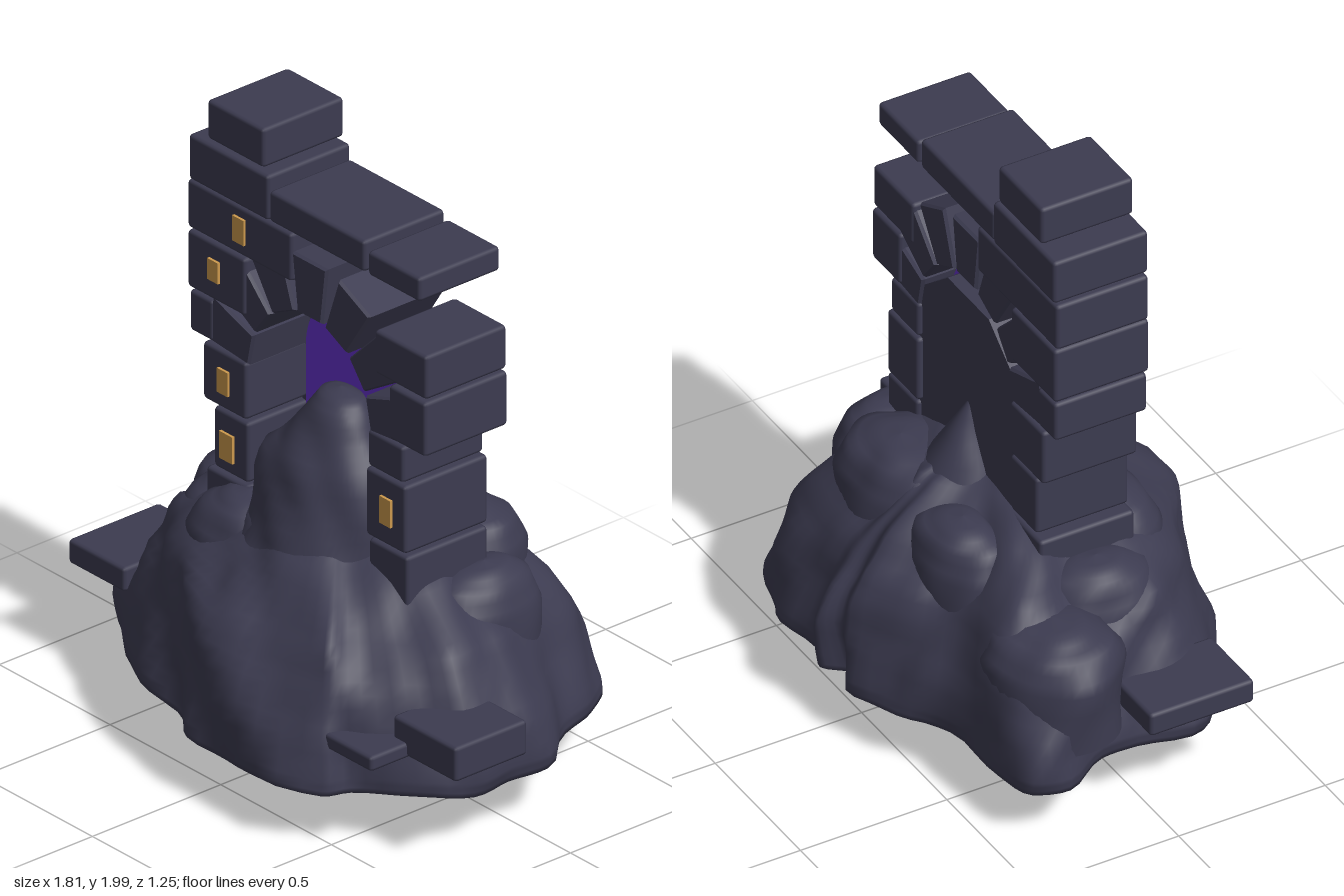
import * as THREE from 'three';
import { RoundedBoxGeometry } from 'three/addons/geometries/RoundedBoxGeometry.js';

const mat = (name, color, side = THREE.FrontSide) => {
  const m = new THREE.MeshStandardMaterial({ color, side });
  m.name = name;
  return m;
};

// Smooth repeatable bumps, roughly -1..1, with a few sharp ridges
const bumps = (x, y, z) =>
  0.45 * Math.sin(7 * x + 3 * y + 1.3) * Math.cos(6 * z - 4 * y) +
  0.4 * (1 - 2 * Math.abs(Math.sin(5 * x - 6 * z + 5 * y + 0.7))) +
  0.3 * Math.sin(17 * x + 9 * z) * Math.sin(15 * y + 11 * z + 2) +
  0.15 * Math.sin(31 * x - 23 * z + 19 * y);

const circle = (u) => [Math.cos(u * Math.PI * 2), Math.sin(u * Math.PI * 2)];

// Closed skin through rings [y, xScale, zScale, xCentre, zCentre], bottom to top
function loft(rings, outline, amp, segs = 72, steps = 3) {
  const pos = [], idx = [], rows = (rings.length - 1) * steps;
  for (let i = 0; i <= rows; i++) {
    const k = Math.min(Math.floor(i / steps), rings.length - 2), t = i / steps - k;
    const [y, sx, sz, cx = 0, cz = 0] = rings[k].map((v, n) => THREE.MathUtils.lerp(v, rings[k + 1][n], t));
    for (let j = 0; j < segs; j++) {
      const [ox, oz] = outline(j / segs);
      const x = cx + ox * sx, z = cz + oz * sz;
      const d = amp * bumps(x, y, z) * Math.min(1, sx * 6);
      const l = Math.hypot(ox, oz);
      pos.push(x + d * ox / l, y + d * 0.45, z + d * oz / l);
      if (i < rows) {
        const a = i * segs + j, b = i * segs + (j + 1) % segs;
        idx.push(a, a + segs, b, b, a + segs, b + segs);
      }
    }
  }
  const g = new THREE.BufferGeometry();
  g.setAttribute('position', new THREE.Float32BufferAttribute(pos, 3));
  g.setIndex(idx);
  g.computeVertexNormals();
  return g;
}

export function createModel() {
  const model = new THREE.Group();
  model.name = 'ruinedGateway';
  const stone = mat('darkStone', 0x3c3b50);
  const glow = mat('purpleGlow', 0x6633cc, THREE.DoubleSide);
  const amber = mat('amberRune', 0xcc994d);

  const add = (name, geometry, material = stone, parent = model) => {
    const m = new THREE.Mesh(geometry, material);
    m.name = name;
    parent.add(m);
    return m;
  };
  const block = (name, x0, x1, y0, y1, z0 = -0.145, z1 = 0.17, parent = model) => {
    const m = add(name, new RoundedBoxGeometry(x1 - x0, y1 - y0, z1 - z0, 1, 0.012), stone, parent);
    m.position.set((x0 + x1) / 2, (y0 + y1) / 2, (z0 + z1) / 2);
    return m;
  };

  // Main rock mound, following an irregular plan
  const plan = new THREE.CatmullRomCurve3([
    [-0.85, -0.28], [-0.81, -0.39], [-0.68, -0.43], [-0.42, -0.44], [-0.27, -0.53], [-0.08, -0.61],
    [0, -0.57], [0.06, -0.62], [0.14, -0.57], [0.34, -0.59], [0.53, -0.52], [0.62, -0.41],
    [0.67, -0.26], [0.8, -0.08], [0.79, 0.06], [0.8, 0.2], [0.68, 0.33], [0.54, 0.46], [0.5, 0.54],
    [0.2, 0.61], [-0.05, 0.6], [-0.2, 0.52], [-0.42, 0.45], [-0.64, 0.33], [-0.78, 0.2], [-0.76, 0], [-0.76, -0.12],
  ].map(([x, z]) => new THREE.Vector3(x, 0, z)), true);
  const planAt = (u) => { const p = plan.getPoint(u); return [p.x, p.z]; };
  add('rockMound', loft([
    [0.15, 0, 0], [0.15, 0.5, 0.55], [0.16, 0.8, 0.85], [0.18, 1, 1], [0.23, 1.01, 1], [0.35, 0.97, 0.98],
    [0.47, 0.9, 0.92], [0.57, 0.81, 0.83], [0.65, 0.68, 0.7], [0.72, 0.54, 0.57], [0.78, 0.38, 0.42],
    [0.82, 0.2, 0.25], [0.83, 0, 0],
  ], planAt, 0.035, 108));

  // Smaller foot below the mound
  add('rockFoot', loft([
    [0.02, 0, 0, -0.02, 0.05], [0.015, 0.2, 0.22, -0.02, 0.05], [0.03, 0.32, 0.3, -0.02, 0.05],
    [0.07, 0.37, 0.35, -0.03, 0.05], [0.13, 0.4, 0.37, -0.03, 0.05], [0.2, 0.4, 0.37, -0.03, 0.05],
  ], circle, 0.03));

  // Spire rising inside the doorway, and a thin spike behind it
  add('rockSpire', loft([
    [0.55, 0.32, 0.33, 0.01, 0.1], [0.7, 0.28, 0.24, 0.02, 0.1], [0.85, 0.265, 0.18, 0.02, 0.09],
    [0.97, 0.225, 0.15, 0.01, 0.09], [1.06, 0.15, 0.11, 0.02, 0.07], [1.13, 0.11, 0.08, 0.03, 0.06],
    [1.17, 0.075, 0.05, 0.03, 0.05], [1.19, 0, 0, 0.02, 0.05],
  ], circle, 0.025));
  add('backSpike', loft([
    [0.65, 0.2, 0.17, 0.02, -0.16], [0.82, 0.11, 0.1, 0.02, -0.13], [0.92, 0.05, 0.06, 0.02, -0.12],
    [1.02, 0, 0, 0.01, -0.12],
  ], circle, 0.015, 32));

  // Shoulder boulders: x, top y, z, radius x, radius z
  [
    [-0.6, 0.63, -0.2, 0.24, 0.2], [-0.48, 0.7, 0.02, 0.15, 0.2], [0.47, 0.73, -0.12, 0.15, 0.2],
    [0.2, 0.81, -0.25, 0.24, 0.19], [-0.2, 0.77, -0.27, 0.2, 0.15], [-0.02, 0.81, 0.17, 0.25, 0.16],
    [-0.25, 0.78, 0.17, 0.2, 0.16],
  ].forEach(([x, y, z, rx, rz]) => add('boulder', loft([
    [y - 0.35, rx, rz, x, z], [y - 0.14, rx, rz, x, z], [y - 0.05, rx * 0.8, rz * 0.8, x, z],
    [y - 0.01, rx * 0.45, rz * 0.45, x, z], [y, 0, 0, x, z],
  ], circle, 0.025, 40)));

  // Pillar stones: x0, x1, y0, y1
  const pillars = new THREE.Group();
  pillars.name = 'pillars';
  model.add(pillars);
  [
    [-0.445, -0.19, 1.87, 2], [-0.525, -0.165, 1.705, 1.855], [-0.535, -0.065, 1.54, 1.7],
    [-0.53, -0.27, 1.345, 1.535], [-0.525, -0.42, 1.2, 1.335], [-0.46, -0.265, 1, 1.19],
    [-0.415, -0.26, 0.79, 0.99], [-0.445, -0.26, 0.45, 0.78],
    [0.31, 0.545, 1.39, 1.535], [0.38, 0.545, 1.2, 1.38], [0.28, 0.44, 1.07, 1.19],
    [0.275, 0.455, 0.84, 1.065], [0.285, 0.46, 0.45, 0.83],
  ].forEach(([a, b, c, d], i) => block('pillarStone', a, b, c, d, -0.145 - 0.004 * (i % 2), 0.17 + 0.004 * (i % 2), pillars));

  // Broken lintel
  block('lintelLong', -0.165, 0.265, 1.705, 1.808);
  block('lintelShort', 0.28, 0.515, 1.705, 1.785);

  // Seven wedge stones around the arch
  const wedge = new THREE.Shape([[-0.05, 0.275], [0.05, 0.275], [0.072, 0.455], [-0.072, 0.455]]
    .map(([x, y]) => new THREE.Vector2(x, y)));
  const wedgeGeo = new THREE.ExtrudeGeometry(wedge, {
    depth: 0.285, bevelEnabled: true, bevelSize: 0.006, bevelThickness: 0.01, bevelSegments: 1,
  });
  for (let i = -3; i <= 3; i++) {
    const m = add('archStone', wedgeGeo);
    m.position.set(0.01, 1.18, -0.13);
    m.rotation.z = -i * THREE.MathUtils.degToRad(26);
  }

  // Glowing sheet with a stone backing
  const door = new THREE.Shape();
  door.moveTo(-0.242, 0.6);
  door.lineTo(0.268, 0.6);
  door.lineTo(0.268, 1.185);
  door.absarc(0.013, 1.185, 0.255, 0, Math.PI, false);
  door.closePath();
  add('portal', new THREE.ShapeGeometry(door, 24), glow).position.z = -0.04;
  const back = new THREE.Shape([[-0.28, 0.6], [0.3, 0.6], [0.3, 1.24], [0.13, 1.38], [-0.11, 1.38], [-0.28, 1.24]]
    .map(([x, y]) => new THREE.Vector2(x, y)));
  add('portalBacking', new THREE.ExtrudeGeometry(back, { depth: 0.07, bevelEnabled: false })).position.z = -0.13;

  // Amber runes on the pillar fronts: centre x, centre y, width, height
  [
    [-0.291, 1.628, 0.052, 0.084], [-0.405, 1.447, 0.048, 0.07], [-0.362, 1.093, 0.048, 0.08],
    [-0.346, 0.882, 0.06, 0.09], [-0.345, 0.69, 0.05, 0.08], [0.373, 0.955, 0.05, 0.09],
  ].forEach(([x, y, w, h]) => add('rune', new THREE.BoxGeometry(w, h, 0.009), amber).position.set(x, y, 0.1785));

  // Loose slabs jutting from the mound
  block('slabRight', -0.905, -0.65, 0.32, 0.4, -0.04, 0.315);
  block('slabLeft', 0.62, 0.905, 0.325, 0.44, 0.085, 0.365);
  block('slabFront', 0.45, 0.685, 0.32, 0.37, 0.3, 0.505);

  return model;
}
